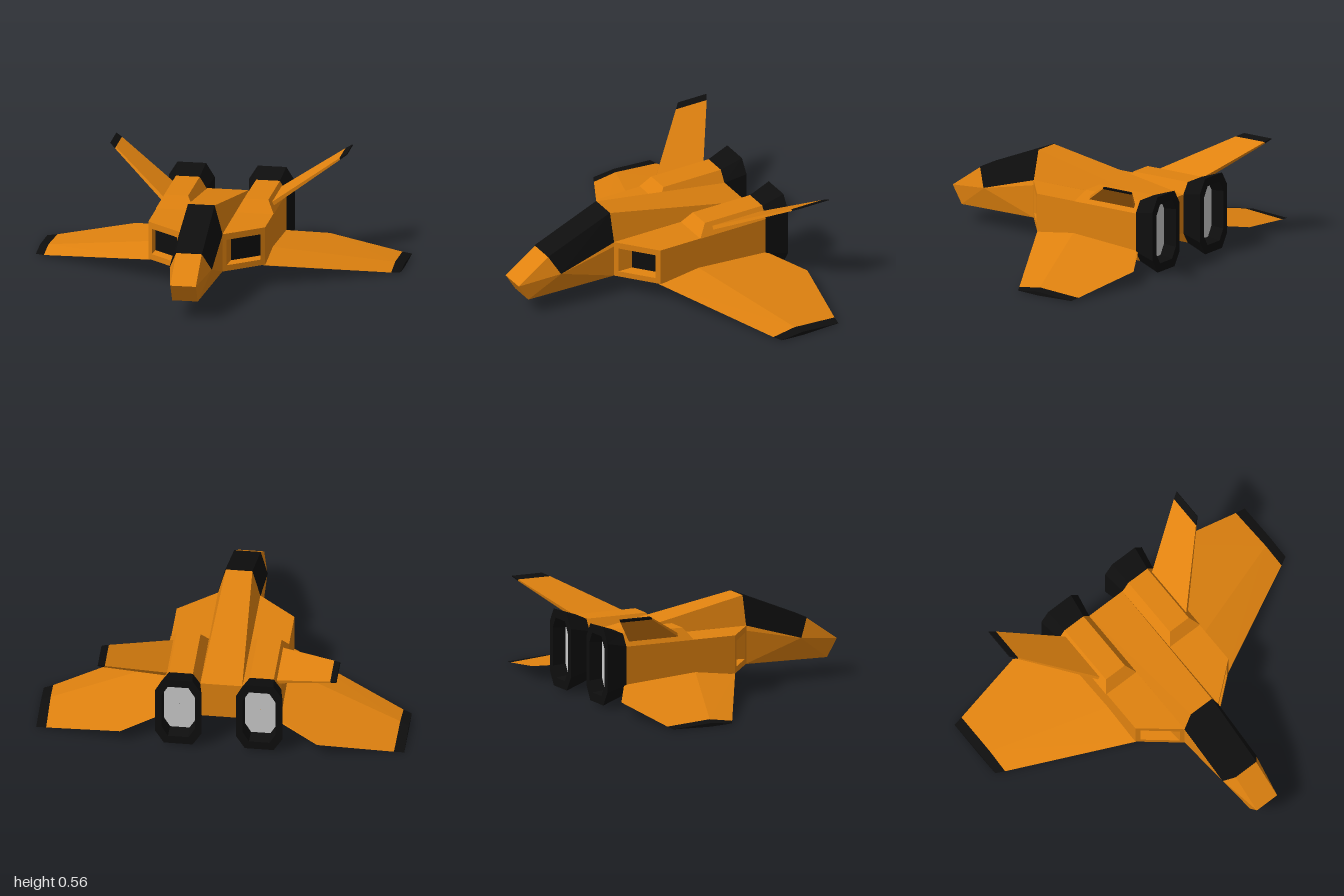
import * as THREE from 'three';
import { ConvexGeometry } from 'three/addons/geometries/ConvexGeometry.js';

const paint = (color, side = THREE.FrontSide) =>
  new THREE.MeshStandardMaterial({ color, flatShading: true, side });
const orange = paint(0xe0820f);
const black = paint(0x0e0e0e);
const blackOpen = paint(0x0e0e0e, THREE.DoubleSide);
const grey = paint(0xcccccc, THREE.DoubleSide);

function add(parent, name, geometry, material) {
  const mesh = new THREE.Mesh(geometry, material);
  mesh.name = name;
  parent.add(mesh);
  return mesh;
}

// Faceted solid around a few corner points
const hull = (pts) => new ConvexGeometry(pts.map((p) => new THREE.Vector3(...p)));
// Corner points repeated on both sides of the centre line
const both = (pts) => pts.flatMap(([x, y, z]) => [[x, y, z], [-x, y, z]]);

// Skin between loops of equal point count
function loft(rings) {
  const n = rings[0].length, index = [];
  for (let r = 0; r < rings.length - 1; r++) {
    for (let i = 0; i < n; i++) {
      const a = r * n + i, b = r * n + (i + 1) % n;
      index.push(a, a + n, b, b, a + n, b + n);
    }
  }
  const g = new THREE.BufferGeometry();
  g.setAttribute('position', new THREE.Float32BufferAttribute(rings.flat(2), 3));
  g.setIndex(index);
  const flat = g.toNonIndexed();
  flat.computeVertexNormals();
  return flat;
}

// Tall octagon around the engine axis
function octagon(hx, hy, z) {
  const u = hx * 0.62, v = hy * 0.64;
  return [[hx, -v], [hx, v], [u, hy], [-u, hy], [-hx, v], [-hx, -v], [-u, -hy], [u, -hy]]
    .map(([x, y]) => [0.22 + x, 0.225 + y, z]);
}

// Moves an intake piece onto the swept-back front of the engine block
const DEPTH = 0.075;
function sweep(g, taper) {
  const p = g.attributes.position;
  for (let i = 0; i < p.count; i++) {
    let x = p.getX(i), y = p.getY(i);
    const z = p.getZ(i);
    if (taper && z < 0.01 && x > 0.12 && x < 0.315) {
      x = 0.215 + (x - 0.215) * 0.87;
      y = 0.225 + (y - 0.225) * 0.93;
    }
    p.setXYZ(i, x, y, z - DEPTH + 0.23 - (x - 0.115) * 0.83);
  }
  g.computeVertexNormals();
  return g;
}

const rect = (Type, x0, x1, y0, y1) =>
  new Type([[x0, y0], [x1, y0], [x1, y1], [x0, y1]].map((p) => new THREE.Vector2(...p)));

function createSide() {
  const side = new THREE.Group();

  // Intake: frame with tapering mouth and dark back plate
  const frame = rect(THREE.Shape, 0.115, 0.32, 0.12, 0.33);
  frame.holes.push(rect(THREE.Path, 0.135, 0.298, 0.152, 0.295));
  add(side, 'intakeFrame', sweep(
    new THREE.ExtrudeGeometry(frame, { depth: DEPTH, bevelEnabled: false }), true), orange);
  const plate = new THREE.ShapeGeometry(rect(THREE.Shape, 0.143, 0.288, 0.155, 0.292));
  plate.translate(0, 0, 0.003);
  add(side, 'intakeBack', sweep(plate), black);

  // Chamfered engine humps above and below the block
  for (const [name, base, top] of [['upperEngineHump', 0.33, 0.395], ['lowerEngineHump', 0.12, 0.055]]) {
    add(side, name, hull([
      [0.115, base, -0.19], [0.323, base, -0.19], [0.155, top, -0.24], [0.285, top, -0.24],
      [0.115, base, -0.6], [0.323, base, -0.6], [0.155, top, -0.6], [0.285, top, -0.6],
    ]), orange);
  }

  // Flared nozzle, hollow at the rear
  add(side, 'nozzle', loft([
    octagon(0.01, 0.01, -0.6), octagon(0.105, 0.17, -0.6), octagon(0.126, 0.212, -0.725),
    octagon(0.09, 0.165, -0.725), octagon(0.085, 0.155, -0.645),
  ]), blackOpen);
  add(side, 'nozzleCore', loft([octagon(0.086, 0.157, -0.65), octagon(0.001, 0.001, -0.65)]), grey);

  // Wing with a shallow ridge on top
  const wingEnd = [[0.952, 0.009, -0.275], [0.95, 0.03, -0.41], [0.945, 0.012, -0.663], [0.95, 0.005, -0.41]];
  add(side, 'wing', hull([
    [0.3, 0.12, 0.07], [0.32, 0.115, 0.06], [0.32, 0.15, -0.18], [0.3, 0.15, -0.18],
    [0.3, 0.12, -0.6], [0.32, 0.12, -0.6], [0.32, 0.11, -0.5],
    [0.535, 0.075, -0.735], ...wingEnd,
  ]), orange);
  add(side, 'wingTip', hull([
    ...wingEnd, [1, 0.006, -0.3], [1, 0.02, -0.43], [1, 0.006, -0.655], [1, 0, -0.43],
  ]), black);

  // Canted tail fin: thickness is measured across its slope
  const chord = (x, y, z0, z1, t) => [z0, z1].flatMap((z) => [-t, t].map((s) => [x - 0.49 * s, y + 0.87 * s, z]));
  const finEnd = chord(0.615, 0.539, -0.59, -0.782, 0.005);
  add(side, 'tailFin', hull([...chord(0.295, 0.358, -0.27, -0.57, 0.011), ...finEnd]), orange);
  add(side, 'tailFinTip', hull([...finEnd, ...chord(0.648, 0.557, -0.622, -0.802, 0.003)]), black);
  return side;
}

export function createModel() {
  const model = new THREE.Group();
  model.name = 'starfighter';

  // Fuselage
  add(model, 'nose', hull(both([
    [0.07, 0.2, 0.8], [0.07, 0.1, 0.74], [0.07, 0.33, 0.615], [0.115, 0.23, 0.56],
    [0.115, 0.33, 0.1], [0.115, 0.12, 0.23], [0.115, 0.12, 0.1],
  ])), orange);
  add(model, 'canopy', hull(both([
    [0.072, 0.332, 0.617], [0.117, 0.231, 0.562], [0.073, 0.492, 0.23], [0.117, 0.33, 0.23],
  ])), black);
  add(model, 'spine', hull(both([
    [0.072, 0.49, 0.229], [0.115, 0.33, 0.229], [0.113, 0.334, -0.6], [0.115, 0.32, -0.6],
  ])), orange);
  add(model, 'engineBlock', hull(both([0.12, 0.33].flatMap((y) => [
    [0.115, y, 0.155], [0.32, y, -0.015], [0.32, y, -0.6],
  ]))), orange);

  // Left side and its mirror image
  const left = createSide();
  left.name = 'leftSide';
  const right = left.clone();
  right.name = 'rightSide';
  right.scale.x = -1;
  model.add(left, right);
  return model;
}
